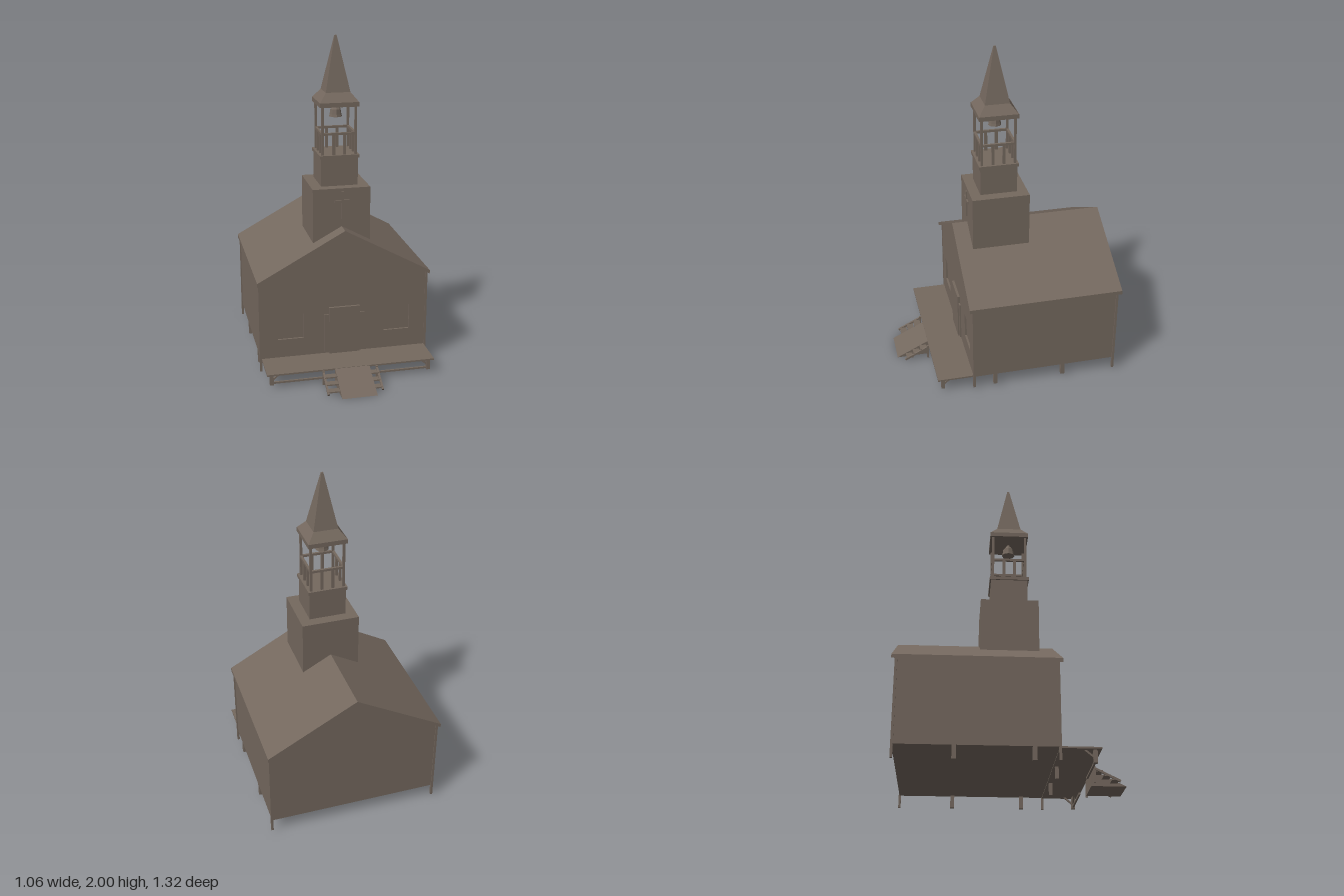
import * as THREE from 'three';

export function createModel() {
  const group = new THREE.Group();
  const wood = new THREE.MeshStandardMaterial({ color: 0x74685e, flatShading: true });
  wood.name = 'weathered wood';

  const add = (name, geo, x = 0, y = 0, z = 0) => {
    const m = new THREE.Mesh(geo, wood);
    m.name = name;
    m.position.set(x, y, z);
    group.add(m);
    return m;
  };
  // Box given by its min and max on each axis
  const box = (name, x0, x1, y0, y1, z0, z1) =>
    add(name, new THREE.BoxGeometry(x1 - x0, y1 - y0, z1 - z0), (x0 + x1) / 2, (y0 + y1) / 2, (z0 + z1) / 2);
  // Square beam between two points
  const beam = (name, a, b, t) => {
    const p = new THREE.Vector3(...a), q = new THREE.Vector3(...b);
    const m = add(name, new THREE.BoxGeometry(t, t, p.distanceTo(q)));
    m.position.copy(p).add(q).multiplyScalar(0.5);
    m.lookAt(q);
    return m;
  };
  const outline = pts => new THREE.Shape(pts.map(p => new THREE.Vector2(...p)));
  const extrude = (shape, depth) => new THREE.ExtrudeGeometry(shape, { depth, bevelEnabled: false });

  // Hall with gabled ends
  const gable = [[-0.515, 0.095], [0.515, 0.095], [0.515, 0.58], [0, 0.865], [-0.515, 0.58]];
  add('hall', extrude(outline(gable), 0.875), 0, 0, -0.64);

  // Front wall with two recessed windows
  const front = outline(gable);
  for (const s of [-1, 1]) {
    const c = 0.33 * s;
    front.holes.push(new THREE.Path([[-0.08, 0.215], [-0.08, 0.375], [0.08, 0.375], [0.08, 0.215]]
      .map(([x, y]) => new THREE.Vector2(c + x, y))));
  }
  add('frontWall', extrude(front, 0.012), 0, 0, 0.235);

  // Roof of two slabs meeting at the ridge
  add('roof', extrude(outline([[-0.53, 0.572], [0, 0.864], [0.53, 0.572], [0.53, 0.595], [0, 0.885], [-0.53, 0.595]]), 0.932), 0, 0, -0.664);

  // Corner posts and short piers
  for (const s of [-1, 1]) {
    for (const z of [0.243, -0.638]) box('cornerPost', s * 0.515 - 0.007, s * 0.515 + 0.007, 0.02, 0.58, z - 0.007, z + 0.007);
    for (const z of [0.11, -0.315]) box('pier', s * 0.503 - 0.012, s * 0.503 + 0.012, 0.02, 0.097, z - 0.012, z + 0.012);
    box('frontPier', s * 0.17 - 0.01, s * 0.17 + 0.01, 0.02, 0.095, 0.25, 0.27);
  }

  // Door with side panels
  box('door', -0.095, 0.095, 0.1, 0.4, 0.24, 0.262);
  for (const s of [-1, 1]) box('doorSidePanel', s * 0.11 - 0.015, s * 0.11 + 0.015, 0.11, 0.355, 0.24, 0.255);

  // Porch deck, its posts, braces and low rails
  box('porchDeck', -0.51, 0.508, 0.09, 0.1, 0.24, 0.464);
  for (const s of [-1, 1]) {
    box('porchPost', s * 0.48 - 0.011, s * 0.48 + 0.011, 0.02, 0.09, 0.42, 0.442);
    beam('porchBrace', [s * 0.475, 0.05, 0.43], [s * 0.425, 0.092, 0.43], 0.01);
    beam('porchBrace', [s * 0.48, 0.05, 0.425], [s * 0.48, 0.092, 0.375], 0.01);
    beam('porchRail', [s * 0.48, 0.031, 0.43], [s * 0.16, 0.031, 0.43], 0.011);
  }

  // Ramp wedge
  const ramp = add('ramp', extrude(outline([[-0.66, 0.002], [-0.46, 0.002], [-0.46, 0.1]]), 0.21), -0.105, 0, 0);
  ramp.rotation.y = Math.PI / 2;

  // Narrow steps on both sides of the ramp
  for (const [inner, outer] of [[-0.1, -0.176], [0.1, 0.148]]) {
    beam('stringer', [outer, 0.085, 0.468], [outer, 0.012, 0.615], 0.012);
    box('stepPost', outer - 0.006, outer + 0.006, 0.005, 0.095, 0.464, 0.476);
    for (let i = 0; i < 3; i++) {
      const z = 0.475 + i * 0.045, y = 0.07 - i * 0.024;
      box('stepTread', Math.min(inner, outer), Math.max(inner, outer), y - 0.004, y + 0.004, z, z + 0.042);
    }
  }

  // Tower in two tiers, with a cross on the front
  box('towerBase', -0.175, 0.175, 0.6, 1.12, -0.175, 0.173);
  box('towerTier', -0.112, 0.112, 1.12, 1.29, -0.112, 0.112);
  box('belfryFloor', -0.12, 0.12, 1.288, 1.308, -0.12, 0.12);
  box('crossUpright', -0.003, 0.013, 0.93, 1.1, 0.17, 0.181);
  box('crossArm', -0.043, 0.053, 1.033, 1.049, 0.17, 0.181);

  // Belfry posts, railings and balusters, one side at a time
  for (let i = 0; i < 4; i++) {
    const side = new THREE.Group();
    side.name = 'belfrySide';
    side.rotation.y = i * Math.PI / 2;
    const part = (name, w, h, d, x, y) => {
      const m = new THREE.Mesh(new THREE.BoxGeometry(w, h, d), wood);
      m.name = name;
      m.position.set(x, y, 0.1);
      side.add(m);
    };
    part('belfryPost', 0.014, 0.3, 0.014, 0.1, 1.455);
    part('belfryRail', 0.2, 0.014, 0.014, 0, 1.434);
    for (const x of [-0.033, 0.033]) part('baluster', 0.017, 0.125, 0.014, x, 1.368);
    group.add(side);
  }

  // Bell
  const bell = [[0, 1.52], [0.04, 1.52], [0.036, 1.535], [0.031, 1.565], [0.012, 1.585], [0.008, 1.6], [0, 1.6]];
  add('bell', new THREE.LatheGeometry(bell.map(p => new THREE.Vector2(...p)), 8));

  // Flared square spire
  box('spireEave', -0.118, 0.118, 1.595, 1.622, -0.118, 0.118);
  const r2 = Math.SQRT2;
  const spire = [[0.118 * r2, 1.62], [0.074 * r2, 1.675], [0.006 * r2, 2], [0, 2]];
  add('spire', new THREE.LatheGeometry(spire.map(p => new THREE.Vector2(...p)), 4, Math.PI / 4));

  return group;
}
